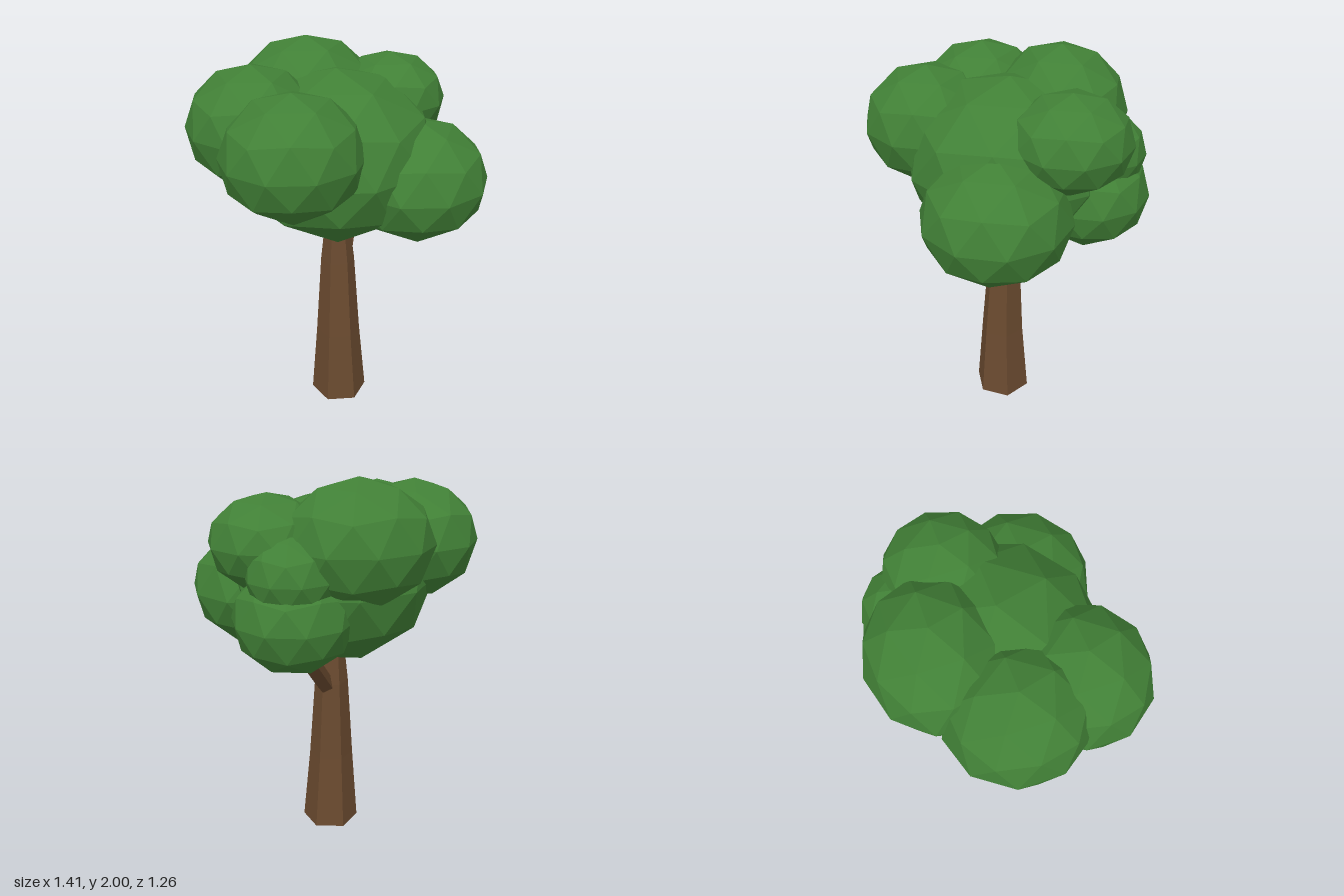
import * as THREE from 'three';

const bark = new THREE.MeshStandardMaterial({ color: 0x6a4a2f, flatShading: true });
bark.name = 'bark brown';
const leaf = new THREE.MeshStandardMaterial({ color: 0x418036, flatShading: true });
leaf.name = 'leaf green';

// Leaf clumps: name, centre, radii
const clumps = [
  ['crownCore', [0.015, 1.47, 0.0], [0.52, 0.435, 0.52]],
  ['frontLeftClump', [-0.305, 1.605, 0.3], [0.345, 0.3, 0.33]],
  ['sideLeftClump', [-0.395, 1.65, -0.04], [0.33, 0.3, 0.345]],
  ['backClump', [-0.035, 1.69, -0.305], [0.37, 0.31, 0.325]],
  ['sideRightClump', [0.365, 1.685, -0.14], [0.29, 0.235, 0.295]],
  ['frontRightClump', [0.352, 1.375, 0.235], [0.368, 0.307, 0.365]],
  ['backRightLowClump', [0.28, 1.35, -0.305], [0.3, 0.265, 0.3]],
  ['backRightSmallClump', [0.29, 1.565, -0.35], [0.225, 0.205, 0.22]],
];

// Faceted ball with a corner at the very top, flattened by its radii
function makeClump([name, centre, radii]) {
  const geo = new THREE.IcosahedronGeometry(1, 1);
  geo.rotateZ(-Math.atan(2 / (1 + Math.sqrt(5))));
  geo.scale(...radii);
  geo.translate(...centre);
  geo.computeVertexNormals();
  const mesh = new THREE.Mesh(geo, leaf);
  mesh.name = name;
  return mesh;
}

// Six-sided trunk, each ring given as [x, y, z, radius]
function makeTrunk() {
  const rings = [
    [0.02, 0, 0.05, 0.155],
    [0.015, 0.42, 0.047, 0.12],
    [0.015, 0.87, 0.035, 0.09],
    [0.01, 1.3, 0.03, 0.04],
  ];
  const geo = new THREE.CylinderGeometry(1, 1, 3, 6, 3, false, Math.PI / 12);
  const pos = geo.attributes.position;
  for (let i = 0; i < pos.count; i++) {
    const [x, y, z, r] = rings[Math.round(pos.getY(i) + 1.5)];
    pos.setXYZ(i, x + pos.getX(i) * r, y, z + pos.getZ(i) * r);
  }
  geo.computeVertexNormals();
  const mesh = new THREE.Mesh(geo, bark);
  mesh.name = 'trunk';
  return mesh;
}

// Straight branch rising into the low back clump
function makeBranch() {
  const start = new THREE.Vector3(0.058, 0.86, -0.005);
  const end = new THREE.Vector3(0.265, 1.22, -0.34);
  const along = end.clone().sub(start);
  const mesh = new THREE.Mesh(new THREE.CylinderGeometry(0.048, 0.05, along.length(), 5), bark);
  mesh.position.copy(start).add(end).multiplyScalar(0.5);
  mesh.quaternion.setFromUnitVectors(new THREE.Vector3(0, 1, 0), along.normalize());
  mesh.name = 'branch';
  return mesh;
}

export function createModel() {
  const tree = new THREE.Group();
  tree.name = 'tree';
  const crown = new THREE.Group();
  crown.name = 'crown';
  clumps.forEach((c) => crown.add(makeClump(c)));
  tree.add(makeTrunk(), makeBranch(), crown);
  return tree;
}
